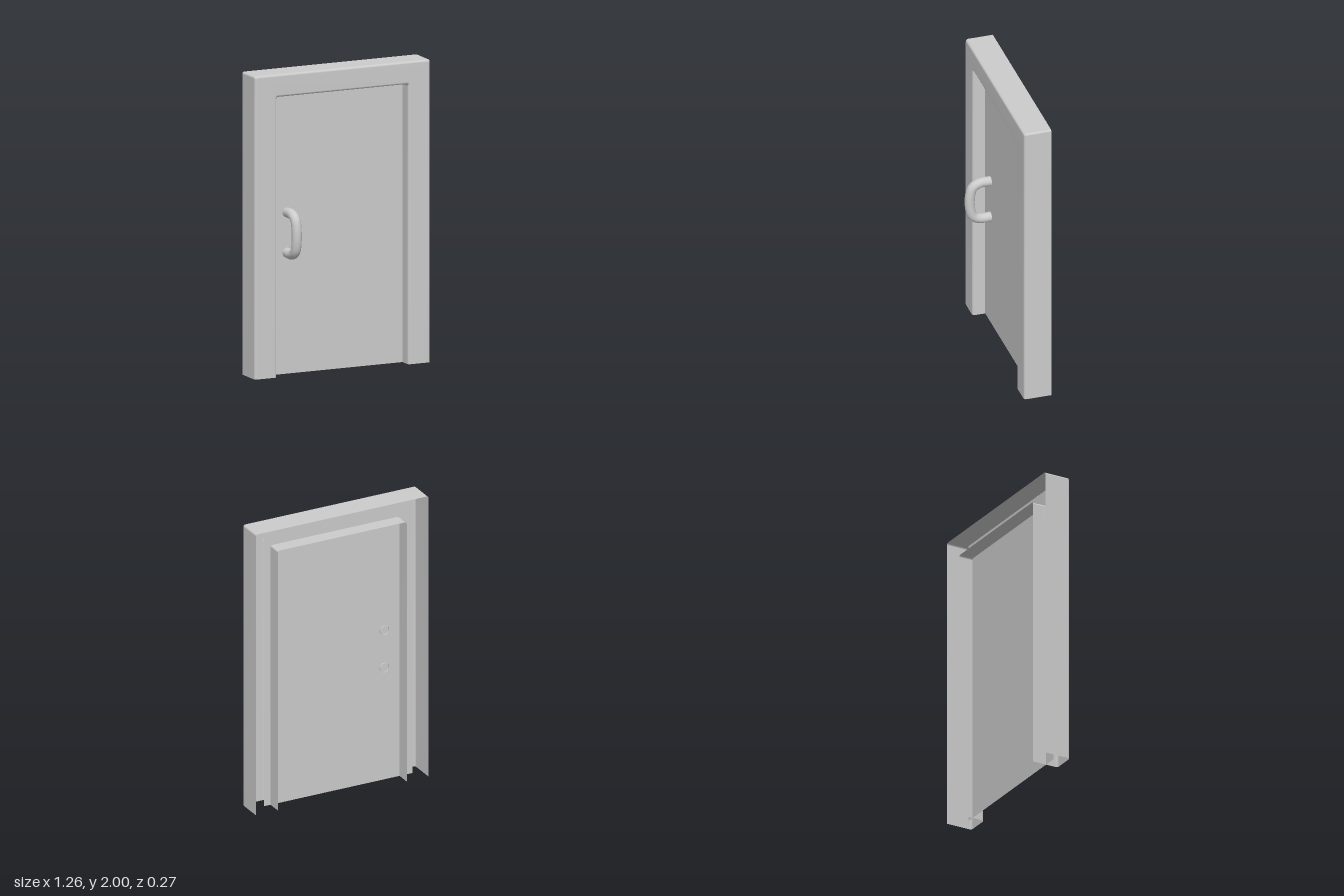
import * as THREE from 'three';

const FRONT = 0.05, BACK = -0.135, DOOR_Z = -0.036;

// Upside-down U outline with slightly rounded upper corners
function archway(halfWidth, top, radius, steps = 4) {
  const points = [[-halfWidth, 0]];
  for (const side of [-1, 1]) {
    for (let k = 0; k <= steps; k++) {
      const f = side < 0 ? k / steps : 1 - k / steps;
      const a = f * Math.PI / 2;
      points.push([
        side * (halfWidth - radius + radius * Math.cos(a)),
        top - radius + radius * Math.sin(a),
      ]);
    }
  }
  points.push([halfWidth, 0]);
  return points;
}

// Profile across the casing: t = 0 at the opening, t = 1 at the outer edge
function casingProfile() {
  const bevel = 0.016, width = 0.16, steps = 4;
  const profile = [[0, BACK]];
  for (let k = 0; k <= steps; k++) {
    const a = (k / steps) * Math.PI / 2;
    profile.push([(bevel / width) * (1 - Math.cos(a)), FRONT - bevel * (1 - Math.sin(a))]);
  }
  for (let k = steps; k >= 0; k--) {
    const a = (k / steps) * Math.PI / 2;
    profile.push([1 - (bevel / width) * (1 - Math.cos(a)), FRONT - bevel * (1 - Math.sin(a))]);
  }
  profile.push([1, BACK]);
  return profile;
}

// Sweep the profile around the doorway; the back stays open
function casingGeometry() {
  const positions = [], index = [];
  const profile = casingProfile();
  let count = 0;
  for (const [t, z] of profile) {
    const path = archway(0.472 + 0.16 * t, 1.85 + 0.15 * t, 0.014);
    count = path.length;
    for (const [x, y] of path) positions.push(x, y, z);
  }
  for (let i = 0; i < profile.length - 1; i++) {
    for (let j = 0; j < count - 1; j++) {
      const a = i * count + j, b = a + count;
      index.push(a, a + 1, b, b, a + 1, b + 1);
    }
  }
  const geometry = new THREE.BufferGeometry();
  geometry.setAttribute('position', new THREE.Float32BufferAttribute(positions, 3));
  geometry.setIndex(index);
  geometry.computeVertexNormals();
  return geometry;
}

export function createModel() {
  const group = new THREE.Group();
  group.name = 'door';
  const material = new THREE.MeshStandardMaterial({ color: 0xcccccc, side: THREE.DoubleSide });
  const add = (name, geometry) => {
    const mesh = new THREE.Mesh(geometry, material);
    mesh.name = name;
    group.add(mesh);
    return mesh;
  };

  // Hollow door frame
  add('doorFrame', casingGeometry());

  // Thin door leaf, a little wider than the opening
  add('doorPanel', new THREE.PlaneGeometry(1.09, 1.96)).position.set(-0.023, 0.98, DOOR_Z);

  // Bent tube handle whose open ends pass just through the leaf
  const midY = 0.932;
  const upper = [[0.133, -0.045], [0.133, 0.035], [0.108, 0.083], [0.055, 0.102]];
  const points = [
    ...upper.map(([dy, z]) => new THREE.Vector3(-0.358, midY + dy, z)),
    ...upper.slice().reverse().map(([dy, z]) => new THREE.Vector3(-0.358, midY - dy, z)),
  ];
  add('handle', new THREE.TubeGeometry(new THREE.CatmullRomCurve3(points), 28, 0.033, 16, false));

  return group;
}
